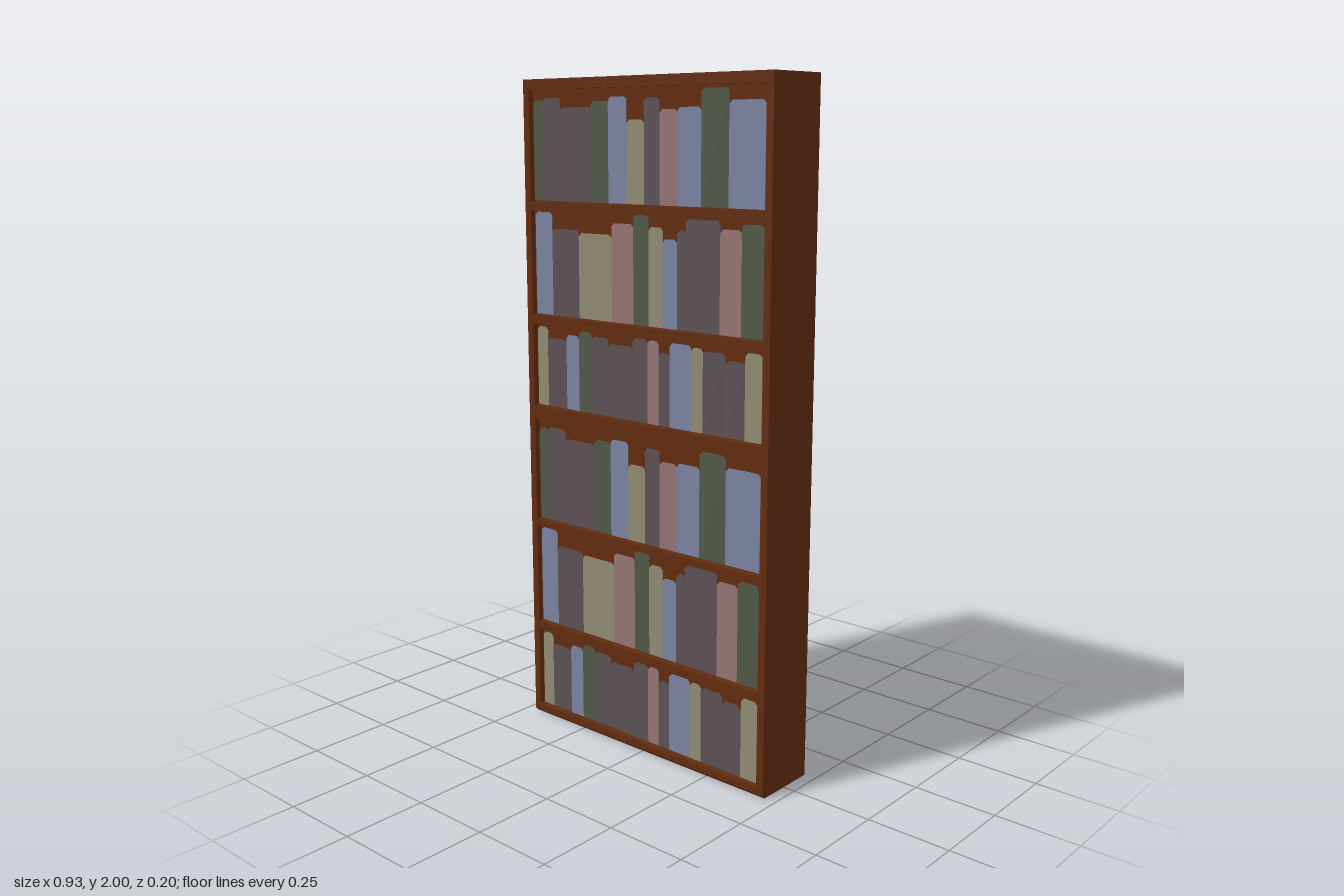
import * as THREE from 'three';

const material = (name, color) =>
  new THREE.MeshStandardMaterial({ name, color, side: THREE.DoubleSide });
const wood = material('wood', 0x622c0f);
const grey = material('grey cover', 0x5c5155);
const blue = material('blue cover', 0x7a82a0);
const beige = material('beige cover', 0x918b72);
const pink = material('pink cover', 0x957474);
const green = material('green cover', 0x505847);

const W = 0.463, H = 2, D = 0.102, BEVEL = 0.01; // half width, height, half depth
const INNER = 0.44, PANEL_Z = 0.085;             // opening half width, recessed panel

// Rows of books: [cover, right edge, height]
const rowA = [
  [green, -0.397, 0.292], [grey, -0.323, 0.297], [grey, -0.2, 0.27], [green, -0.132, 0.286],
  [blue, -0.061, 0.297], [beige, 0.005, 0.233], [grey, 0.063, 0.292], [pink, 0.127, 0.26],
  [blue, 0.212, 0.265], [green, 0.307, 0.313], [blue, 0.428, 0.281],
];
const rowB = [
  [blue, -0.365, 0.308], [grey, -0.254, 0.26], [beige, -0.122, 0.252], [pink, -0.037, 0.286],
  [green, 0.021, 0.313], [beige, 0.074, 0.281], [blue, 0.127, 0.25], [grey, 0.159, 0.276],
  [grey, 0.28, 0.308], [pink, 0.354, 0.286], [green, 0.428, 0.302],
];
const rowC = [
  [beige, -0.392, 0.244], [grey, -0.312, 0.212], [blue, -0.259, 0.228], [green, -0.206, 0.244],
  [grey, -0.138, 0.233], [grey, -0.042, 0.218], [grey, 0.016, 0.244], [pink, 0.058, 0.244],
  [grey, 0.1, 0.212], [blue, 0.18, 0.244], [beige, 0.222, 0.239], [grey, 0.302, 0.233],
  [grey, 0.37, 0.215], [beige, 0.428, 0.244],
];
// Openings: [bottom, top, books]
const openings = [
  [1.645, 1.97, rowA], [1.303, 1.62, rowB], [1.02, 1.278, rowC],
  [0.655, 0.98, rowA], [0.315, 0.635, rowB], [0.03, 0.29, rowC],
];

function add(parent, name, geometry, mat = wood) {
  const mesh = new THREE.Mesh(geometry, mat);
  mesh.name = name;
  parent.add(mesh);
  return mesh;
}

// Flat four-cornered face, corners counter-clockwise from its front
function quad(parent, name, a, b, c, d) {
  const g = new THREE.BufferGeometry();
  g.setAttribute('position', new THREE.Float32BufferAttribute([a, b, c, d].flat(), 3));
  g.setIndex([0, 1, 2, 0, 2, 3]);
  g.computeVertexNormals();
  return add(parent, name, g);
}

const polygon = (points) => new THREE.Shape(points.map(([x, y]) => new THREE.Vector2(x, y)));
const rectangle = (x, y0, y1) => [[-x, y0], [x, y0], [x, y1], [-x, y1]];

// Thin book spine with clipped corners at the top
function addBook(parent, cover, x0, x1, y, h) {
  const c = Math.min(0.01, (x1 - x0) / 3);
  const shape = polygon([[x0, y], [x1, y], [x1, y + h - c], [x1 - c, y + h], [x0 + c, y + h], [x0, y + h - c]]);
  const g = new THREE.ExtrudeGeometry(shape, { depth: 0.004, bevelEnabled: false });
  add(parent, 'book', g, cover).position.z = PANEL_Z - 0.002;
}

export function createModel() {
  const model = new THREE.Group();
  model.name = 'bookcase';

  // Open-topped case: back, floor and bevelled lower front edge
  quad(model, 'back', [W, 0, -D], [-W, 0, -D], [-W, H, -D], [W, H, -D]);
  quad(model, 'floor', [-W, 0, -D], [W, 0, -D], [W, 0, D - BEVEL], [-W, 0, D - BEVEL]);
  quad(model, 'bottomBevel', [-W, 0, D - BEVEL], [W, 0, D - BEVEL], [W, BEVEL, D], [-W, BEVEL, D]);

  // Side walls, drawn in z and y, then turned to face outwards
  for (const s of [1, -1]) {
    const profile = [[-D, 0], [D - BEVEL, 0], [D, BEVEL], [D, H], [-D, H]].map(([z, y]) => [-s * z, y]);
    const side = add(model, s > 0 ? 'leftSide' : 'rightSide', new THREE.ShapeGeometry(polygon(profile)));
    side.rotation.y = s * Math.PI / 2;
    side.position.x = s * W;
  }

  // Front frame with one hole for each shelf
  const frame = polygon(rectangle(W, BEVEL, H));
  for (const [y0, y1] of openings) frame.holes.push(polygon(rectangle(INNER, y0, y1)));
  add(model, 'frontFrame', new THREE.ShapeGeometry(frame)).position.z = D;

  // Recesses with their rows of books
  for (const [y0, y1, books] of openings) {
    const shelf = new THREE.Group();
    shelf.name = 'shelf';
    model.add(shelf);
    add(shelf, 'panel', new THREE.ShapeGeometry(polygon(rectangle(INNER, y0, y1)))).position.z = PANEL_Z;
    const corners = rectangle(INNER, y0, y1);
    corners.forEach(([ax, ay], i) => {
      const [bx, by] = corners[(i + 1) % 4];
      quad(shelf, 'recessEdge', [ax, ay, D], [bx, by, D], [bx, by, PANEL_Z], [ax, ay, PANEL_Z]);
    });
    let x = -0.436;
    for (const [cover, right, height] of books) {
      addBook(shelf, cover, x, right, y0 + 0.003, height);
      x = right;
    }
  }
  return model;
}
